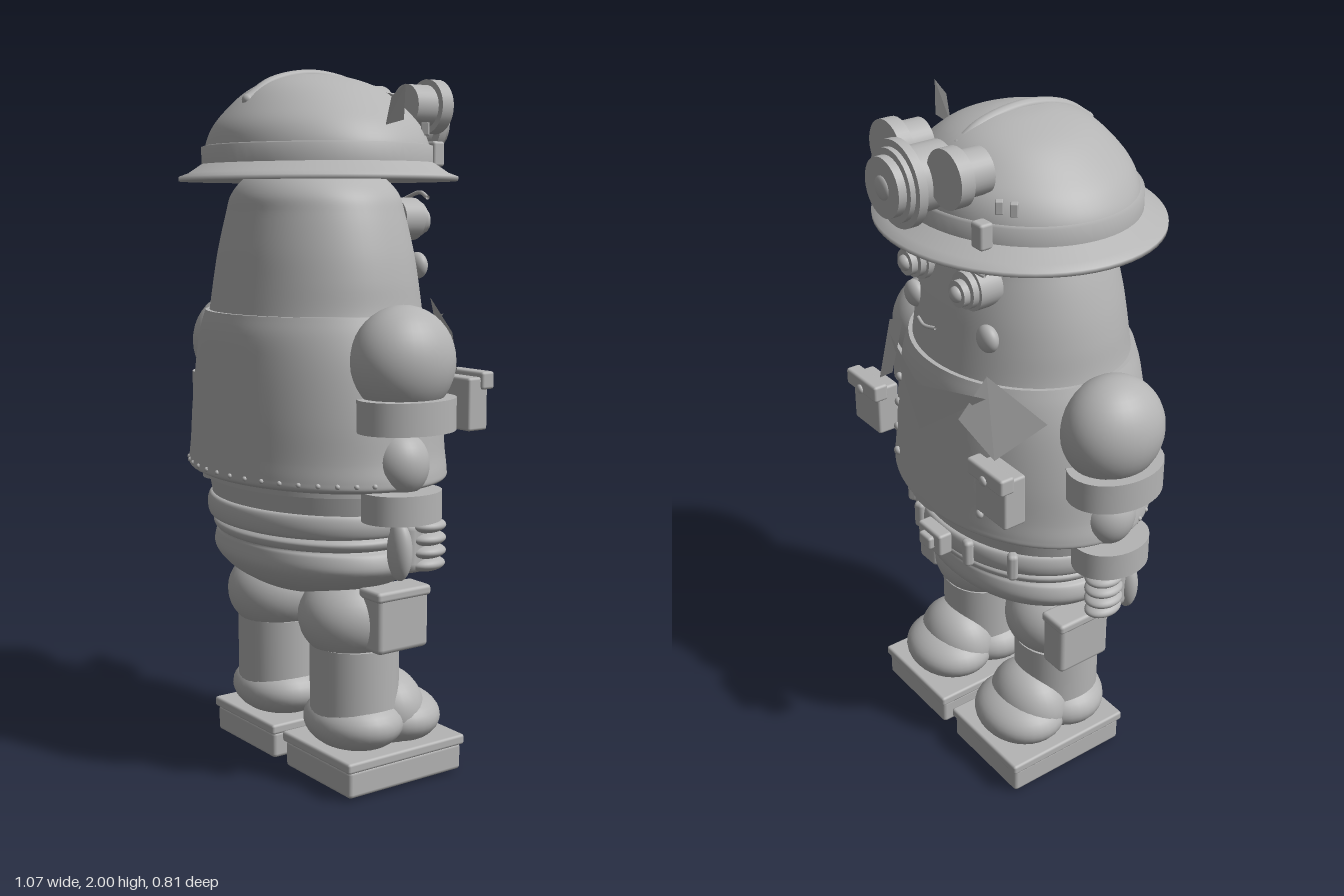
import * as THREE from 'three';
import { mergeVertices } from 'three/addons/utils/BufferGeometryUtils.js';
import { RoundedBoxGeometry } from 'three/addons/geometries/RoundedBoxGeometry.js';

const grey = new THREE.MeshStandardMaterial({ color: 0xb4b4b4, side: THREE.DoubleSide });
grey.name = 'plain grey';
const CZ = 0.03; // z of the body axis

const v = (x, y, z) => new THREE.Vector3(x, y, z);

// Elliptical lathe: rows of [y, radius x, radius z], optionally smoothed
function loft(rows, smooth = true, z0 = CZ) {
  let pts = rows.map(([y, a, b]) => v(a, y, b));
  if (smooth) pts = new THREE.CatmullRomCurve3(pts, false, 'centripetal').getPoints(rows.length * 5);
  let geo = new THREE.LatheGeometry(pts.map(p => new THREE.Vector2(p.x, p.y)), 64);
  const pos = geo.attributes.position;
  for (let i = 0; i < pos.count; i++) {
    const p = pts[i % pts.length];
    const phi = Math.floor(i / pts.length) / 64 * Math.PI * 2;
    pos.setZ(i, z0 + p.z * Math.cos(phi));
  }
  if (!smooth) return geo.toNonIndexed();
  geo.deleteAttribute('uv');
  geo.deleteAttribute('normal');
  geo = mergeVertices(geo, 1e-5);
  geo.computeVertexNormals();
  return geo;
}

const jacketRows = [[0.87, 0.425, 0.315], [0.88, 0.44, 0.33], [0.9, 0.44, 0.33], [0.95, 0.43, 0.328],
  [1.05, 0.418, 0.325], [1.2, 0.39, 0.317], [1.28, 0.365, 0.31], [1.33, 0.345, 0.298]];

// Front (face side) depth of the jacket at x, y
function frontZ(x, y) {
  let i = 0;
  while (i < jacketRows.length - 2 && jacketRows[i + 1][0] < y) i++;
  const [a, b] = [jacketRows[i], jacketRows[i + 1]];
  const t = (y - a[0]) / (b[0] - a[0]);
  const rx = a[1] + (b[1] - a[1]) * t, rz = a[2] + (b[2] - a[2]) * t;
  return CZ - rz * Math.sqrt(Math.max(0, 1 - (x / rx) ** 2));
}

// Flat polygon sheet, fanned from its first corner
function sheet(corners) {
  const geo = new THREE.BufferGeometry().setFromPoints(corners);
  const idx = [];
  for (let i = 1; i < corners.length - 1; i++) idx.push(0, i, i + 1);
  geo.setIndex(idx);
  const flat = geo.toNonIndexed();
  flat.computeVertexNormals();
  return flat;
}

export function createModel() {
  const model = new THREE.Group();
  function add(name, geo, x = 0, y = 0, z = 0) {
    const m = new THREE.Mesh(geo, grey);
    m.name = name;
    m.position.set(x, y, z);
    model.add(m);
    return m;
  }
  const ball = (name, x, y, z, rx, ry, rz) =>
    add(name, new THREE.SphereGeometry(1, 32, 20), x, y, z).scale.set(rx, ry, rz);
  const box = (name, x, y, z, w, h, d, r = 0.008) =>
    add(name, new RoundedBoxGeometry(w, h, d, 2, r), x, y, z);
  // Disc facing the face side, from z0 out to z1
  function disc(name, x, y, z0, z1, r) {
    add(name, new THREE.CylinderGeometry(r, r, Math.abs(z1 - z0), 32), x, y, (z0 + z1) / 2).rotation.x = Math.PI / 2;
  }
  const tube = (name, pts, r) =>
    add(name, new THREE.TubeGeometry(new THREE.CatmullRomCurve3(pts), 24, r, 10));

  // Head and trunk
  add('head', loft([[0.85, 0.38, 0.29], [1.2, 0.37, 0.3], [1.33, 0.335, 0.285], [1.42, 0.323, 0.272], [1.5, 0.307, 0.26],
    [1.6, 0.277, 0.24], [1.65, 0.255, 0.23], [1.7, 0.2, 0.195], [1.75, 0.11, 0.11], [1.77, 0.001, 0.001]]));
  add('jacket', loft(jacketRows));
  add('jacketHemUnderside', loft([[0.87, 0.3, 0.2], [0.87, 0.425, 0.315]], false));
  add('jacketNeckEdge', loft([[1.33, 0.345, 0.298], [1.33, 0.32, 0.275]], false));
  add('trousers', loft([[0.52, 0.001, 0.001], [0.53, 0.1, 0.1], [0.56, 0.235, 0.18], [0.6, 0.325, 0.235],
    [0.64, 0.36, 0.26], [0.68, 0.35, 0.258], [0.695, 0.33, 0.255], [0.76, 0.35, 0.265], [0.9, 0.38, 0.285]]));
  add('belt', loft([[0.73, 0.34, 0.255], [0.735, 0.36, 0.28], [0.765, 0.368, 0.287], [0.795, 0.36, 0.28], [0.8, 0.34, 0.255]]));
  add('waistRoll', loft([[0.69, 0.33, 0.25], [0.7, 0.345, 0.265], [0.715, 0.35, 0.27], [0.73, 0.335, 0.255]]));

  // Rivets round the hem
  for (let i = -9; i <= 9; i++) {
    const a = i * 0.14;
    ball('hemRivet', 0.44 * Math.sin(a), 0.892, CZ + 0.33 * Math.cos(a), 0.007, 0.007, 0.007);
  }

  // Belt buckle and loops
  box('beltBuckle', 0, 0.765, -0.275, 0.11, 0.07, 0.045);
  box('bucklePlate', 0, 0.765, -0.3, 0.055, 0.04, 0.03);
  for (const x of [-0.25, -0.12, 0.12, 0.25]) {
    const z = CZ - 0.29 * Math.sqrt(1 - (x / 0.368) ** 2);
    const loop = box('beltLoop', x, 0.765, z, 0.035, 0.085, 0.03, 0.012);
    loop.rotation.y = x * 2.2;
  }

  // Oval belly panel following the jacket, with studs
  const panel = new THREE.RingGeometry(0.001, 0.19, 40, 8);
  const pp = panel.attributes.position;
  for (let i = 0; i < pp.count; i++) {
    const x = pp.getX(i), y = pp.getY(i) * 1.0 + 1.07;
    pp.setXYZ(i, x, y, frontZ(x, y) - 0.008);
  }
  panel.computeVertexNormals();
  add('bellyPanel', panel);
  for (const s of [-1, 1]) for (const y of [0.95, 1.03, 1.11, 1.19])
    ball('bellyStud', s * 0.205, y, frontZ(0.205, y) - 0.004, 0.013, 0.013, 0.01);

  // Neckerchief
  const knot = v(0, 1.28, -0.315), tip = v(0, 1.14, -0.315);
  for (const s of [-1, 1])
    add('neckerchief', sheet([knot, v(s * 0.23, 1.32, -0.255), tip]));

  // Face
  for (const s of [-1, 1]) {
    disc('eyeRim', s * 0.12, 1.585, -0.16, -0.228, 0.06);
    disc('eyeWhite', s * 0.12, 1.585, -0.22, -0.246, 0.05);
    disc('iris', s * 0.12, 1.58, -0.24, -0.265, 0.036);
    ball('pupil', s * 0.12, 1.58, -0.265, 0.022, 0.022, 0.018);
    tube('eyebrow', [v(s * 0.055, 1.64, -0.245), v(s * 0.12, 1.66, -0.25), v(s * 0.19, 1.645, -0.225)], 0.006);
    ball('cheek', s * 0.17, 1.455, -0.205, 0.038, 0.038, 0.025);
  }
  tube('mouth', [v(-0.04, 1.455, -0.28), v(0, 1.45, -0.288), v(0.04, 1.455, -0.28)], 0.005);

  // Helmet: dome, band, brim, crest
  add('helmetDome', loft([[1.73, 0.345, 0.302], [1.78, 0.343, 0.3], [1.83, 0.315, 0.288], [1.88, 0.263, 0.255],
    [1.94, 0.18, 0.19], [1.975, 0.08, 0.1], [1.985, 0.001, 0.001]], true, 0.025));
  add('helmetBand', loft([[1.735, 0.352, 0.31], [1.785, 0.352, 0.31], [1.79, 0.335, 0.295]], false, 0.025));
  add('helmetBrim', loft([[1.72, 0.33, 0.29], [1.692, 0.405, 0.363], [1.69, 0.42, 0.378], [1.702, 0.42, 0.378],
    [1.712, 0.395, 0.35], [1.738, 0.355, 0.312], [1.745, 0.335, 0.3]], false, 0.022));
  const crest = [v(0, 1.905, 0.25), v(0, 1.955, 0.17), v(0, 1.98, 0.04), v(0, 1.958, -0.1), v(0, 1.92, -0.165)];
  tube('helmetCrest', crest, 0.017);
  for (const p of [crest[0], crest[4]]) ball('crestEnd', p.x, p.y, p.z, 0.017, 0.017, 0.017);
  add('feather', sheet([v(0.35, 1.83, 0.05), v(0.4, 1.9, 0.07), v(0.457, 1.927, 0.07), v(0.42, 1.84, 0.045)]));
  for (const [x, z] of [[-0.245, -0.175], [-0.21, -0.195], [0.25, -0.165]]) {
    const scratch = box('helmetChip', x, 1.83, z, 0.022, 0.035, 0.02, 0.003);
    scratch.rotation.y = x * 3;
  }

  // Lamp and goggles on the helmet
  disc('lampHousing', 0, 1.86, -0.22, -0.345, 0.085);
  disc('lampRim', 0, 1.86, -0.335, -0.36, 0.113);
  disc('lampRing', 0, 1.86, -0.36, -0.375, 0.095);
  disc('lampGlass', 0, 1.86, -0.375, -0.398, 0.078);
  ball('lampBulb', 0, 1.86, -0.396, 0.032, 0.032, 0.012);
  for (const s of [-1, 1]) {
    disc('goggleCup', s * 0.13, 1.9, -0.19, -0.27, 0.06);
    disc('goggleRim', s * 0.132, 1.9, -0.262, -0.302, 0.076);
    box('goggleClip', s * 0.2, 1.765, -0.24, 0.045, 0.07, 0.04);
  }

  for (const s of [-1, 1]) {
    // Collar flap
    add('collarFlap', sheet([v(s * 0.2, 1.365, -0.23), v(s * 0.375, 1.28, -0.165),
      v(s * 0.28, 1.16, -0.265), v(s * 0.16, 1.24, -0.295)]));

    // Chest pouch
    box('chestPouch', s * 0.305, 1.075, -0.265, 0.135, 0.15, 0.07);
    box('chestPouchFlap', s * 0.303, 1.14, -0.295, 0.155, 0.05, 0.045);
    ball('pouchButton', s * 0.303, 1.13, -0.32, 0.014, 0.014, 0.008);

    // Arm and cuffs
    ball('shoulder', s * 0.405, 1.215, CZ, 0.13, 0.15, 0.148);
    add('sleeveCuff', new THREE.CylinderGeometry(1, 1, 0.088, 40), s * 0.422, 1.077, CZ).scale.set(0.113, 1, 0.144);
    ball('forearm', s * 0.395, 0.94, CZ, 0.08, 0.09, 0.08);
    add('gloveCuff', new THREE.CylinderGeometry(1, 1, 0.08, 40), s * 0.41, 0.832, 0.035).scale.set(0.096, 1, 0.115);

    // Hand
    box('palm', s * 0.425, 0.725, 0.015, 0.09, 0.15, 0.1, 0.03);
    for (let i = 0; i < 4; i++)
      ball('finger', s * 0.45, 0.673 + i * 0.035, -0.018, 0.048 - (i === 0 ? 0.006 : 0), 0.021, 0.057);
    ball('thumb', s * 0.445, 0.715, 0.068, 0.04, 0.08, 0.03);

    // Leg
    ball('thigh', s * 0.187, 0.48, CZ, 0.15, 0.13, 0.16);
    add('shin', new THREE.CylinderGeometry(0.127, 0.127, 0.2, 40), s * 0.19, 0.3, 0.027);
    box('holster', s * 0.325, 0.49, -0.01, 0.09, 0.165, 0.175, 0.015);
    box('holsterFlap', s * 0.327, 0.57, -0.01, 0.095, 0.03, 0.185, 0.01);

    // Boot
    ball('bootHeel', s * 0.19, 0.175, 0.03, 0.16, 0.085, 0.135);
    ball('bootInstep', s * 0.19, 0.19, -0.075, 0.135, 0.12, 0.11);
    ball('bootToe', s * 0.19, 0.165, -0.11, 0.15, 0.08, 0.132);

    // Sole block with treads
    box('solePlate', s * 0.188, 0.098, -0.043, 0.328, 0.03, 0.415);
    box('soleBlock', s * 0.188, 0.048, -0.043, 0.315, 0.08, 0.4, 0.012);
    for (const tx of [-0.1, 0, 0.1]) for (const tz of [-0.14, 0, 0.14])
      box('tread', s * 0.188 + tx, 0.008, -0.043 + tz, 0.05, 0.016, 0.05, 0.003);
  }
  return model;
}
